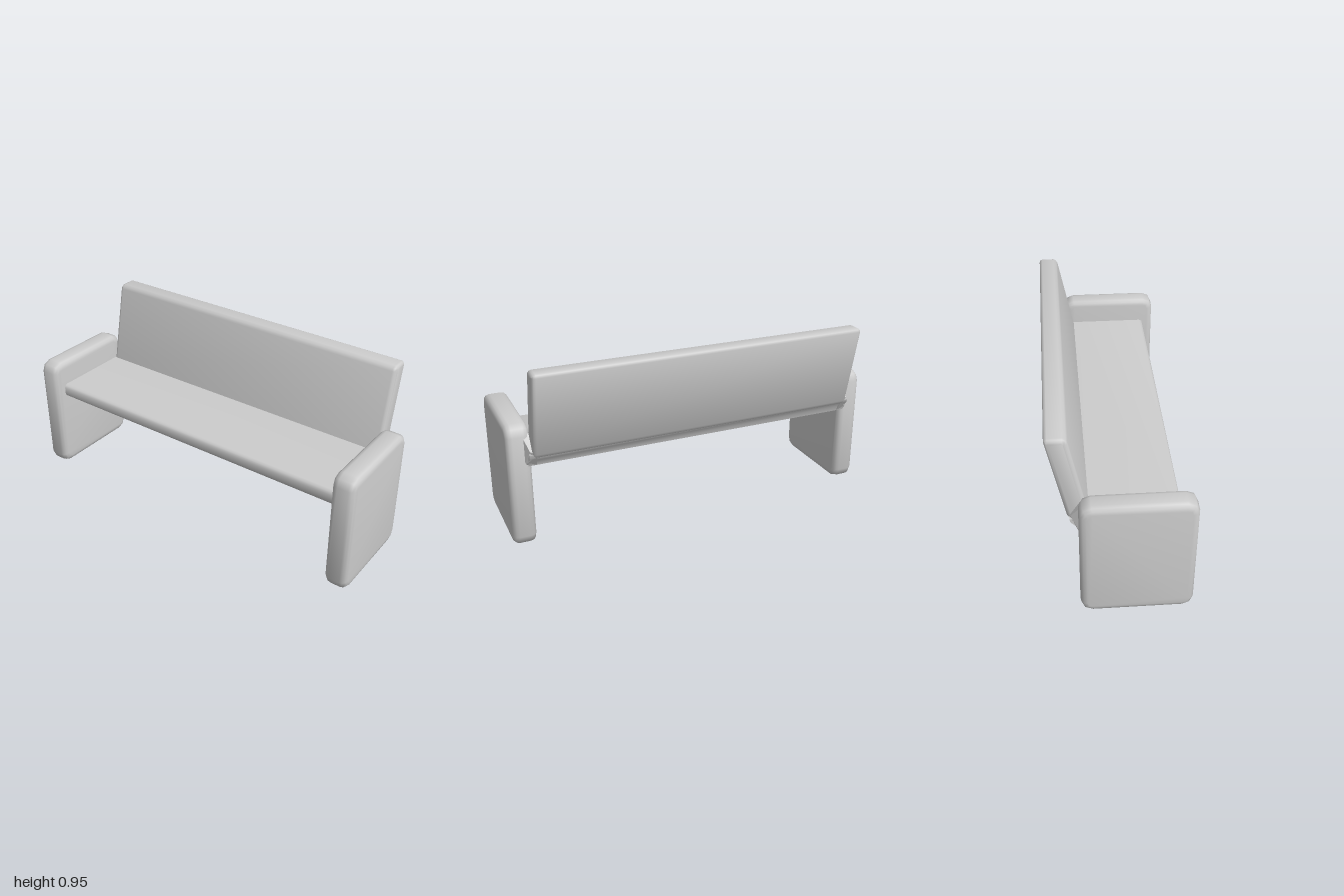
import * as THREE from 'three';
import { toCreasedNormals } from 'three/addons/utils/BufferGeometryUtils.js';
import { ConvexGeometry } from 'three/addons/geometries/ConvexGeometry.js';

const material = new THREE.MeshStandardMaterial({ color: 0xcccccc });

// Extrude a side profile of [z, y] points along x, centred on x = 0
function slab(name, points, width, bevel = 0) {
  const shape = new THREE.Shape(points.map(([z, y]) => new THREE.Vector2(z, y)));
  const geometry = new THREE.ExtrudeGeometry(shape, {
    depth: width - 2 * bevel,
    bevelEnabled: bevel > 0,
    bevelThickness: bevel,
    bevelSize: bevel,
    bevelOffset: -bevel,
    bevelSegments: 3,
  });
  geometry.translate(0, 0, -(width - 2 * bevel) / 2);
  geometry.rotateY(-Math.PI / 2);
  const mesh = new THREE.Mesh(toCreasedNormals(geometry, 0.9), material);
  mesh.name = name;
  return mesh;
}

// Rectangle outline with two-step rounded corners
function roundedOutline(z0, z1, y0, y1, r) {
  const corners = [[z1 - r, y0 + r, -1], [z1 - r, y1 - r, 0], [z0 + r, y1 - r, 1], [z0 + r, y0 + r, 2]];
  return corners.flatMap(([z, y, quarter]) => [0, 0.5, 1].map((t) => {
    const a = (quarter + t) * Math.PI / 2;
    return [z + r * Math.cos(a), y + r * Math.sin(a)];
  }));
}

export function createModel() {
  const bench = new THREE.Group();
  bench.name = 'bench';

  // Seat board, running into the side panels
  bench.add(slab('seat', [
    [-0.2, 0.44], [0.265, 0.44], [0.276, 0.446], [0.282, 0.46], [0.282, 0.495],
    [0.276, 0.509], [0.262, 0.515], [-0.24, 0.515], [-0.235, 0.495], [-0.21, 0.47],
  ], 1.8));

  // Leaning backrest with softened top and ends
  bench.add(slab('backrest', [
    [-0.205, 0.465], [-0.14, 0.48], [-0.148, 0.515], [-0.235, 0.93], [-0.243, 0.945], [-0.258, 0.953],
    [-0.325, 0.953], [-0.336, 0.948], [-0.34, 0.935], [-0.25, 0.515], [-0.235, 0.495],
  ], 1.77, 0.02));

  for (const side of [-1, 1]) {
    const name = side > 0 ? 'left' : 'right';

    // Side panel that is both leg and armrest
    const panel = slab(name + 'SidePanel', roundedOutline(-0.2, 0.34, 0, 0.653, 0.055), 0.12, 0.032);
    panel.position.x = side * 0.94;
    bench.add(panel);

    // Small web joining the side panel to the backrest
    const web = new ConvexGeometry([
      [0.92, 0.6, -0.19], [0.92, 0.44, -0.19], [0.86, 0.615, -0.185],
      [0.86, 0.515, -0.248], [0.86, 0.44, -0.2], [0.86, 0.5, -0.15], [0.895, 0.53, -0.235],
    ].map(([x, y, z]) => new THREE.Vector3(side * x, y, z)));
    const joint = new THREE.Mesh(web, material);
    joint.name = name + 'Joint';
    bench.add(joint);
  }
  return bench;
}
